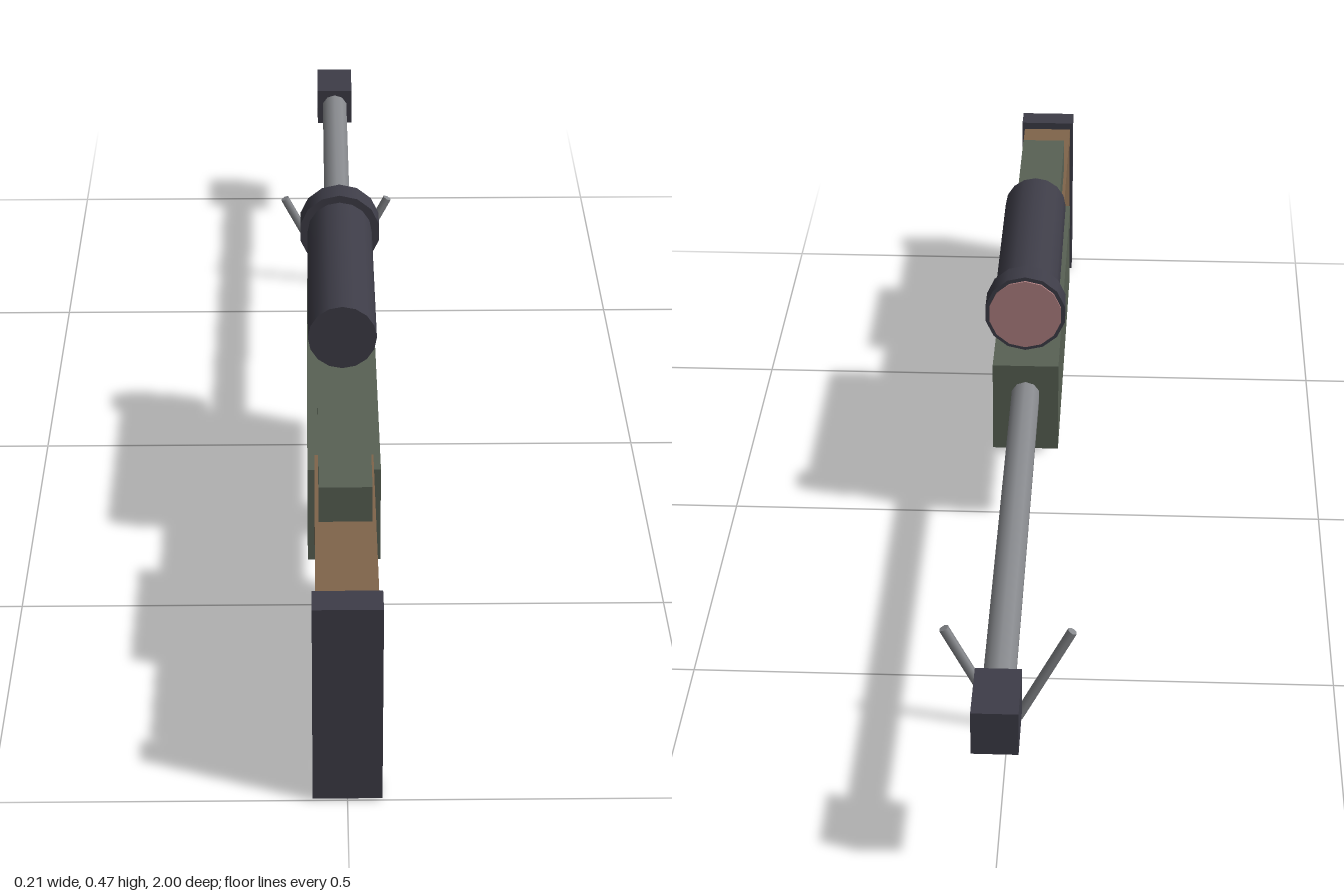
import * as THREE from 'three';

const flat = (name, color) => {
  const m = new THREE.MeshStandardMaterial({ color });
  m.name = name;
  return m;
};

export function createModel() {
  const group = new THREE.Group();
  const dark = flat('darkPolymer', 0x3e3d48);
  const green = flat('oliveGreen', 0x596255);
  const wood = flat('brownWood', 0x80654b);
  const steel = flat('greySteel', 0x87898d);
  const glass = flat('pinkGlass', 0xb28283);

  const add = (name, geometry, material, x, y, z) => {
    const mesh = new THREE.Mesh(geometry, material);
    mesh.name = name;
    mesh.position.set(x, y, z);
    group.add(mesh);
    return mesh;
  };
  // Box given by its width and its y and z ranges
  const block = (name, material, w, y0, y1, z0, z1) =>
    add(name, new THREE.BoxGeometry(w, y1 - y0, z1 - z0), material, 0, (y0 + y1) / 2, (z0 + z1) / 2);
  // Cylinder lying along z
  const tube = (name, material, r, sides, y, z0, z1) =>
    add(name, new THREE.CylinderGeometry(r, r, z1 - z0, sides).rotateX(Math.PI / 2), material, 0, y, (z0 + z1) / 2);

  // Stock and body
  block('buttPlate', dark, 0.098, 0.004, 0.318, 0.952, 1);
  block('stock', wood, 0.088, 0.092, 0.309, 0.567, 0.943);
  block('cheekRest', green, 0.077, 0.305, 0.366, 0.508, 0.757);
  block('receiver', green, 0.109, 0.147, 0.303, -0.032, 0.6);

  // Slanted grip and magazine
  add('grip', new THREE.BoxGeometry(0.056, 0.13, 0.077), wood, 0, 0.094, 0.504).rotation.x = -0.22;
  add('magazine', new THREE.BoxGeometry(0.071, 0.134, 0.09), dark, 0, 0.078, 0.266).rotation.x = 0.3;

  // Barrel and muzzle
  tube('barrel', steel, 0.024, 10, 0.249, -0.9, -0.02);
  block('muzzle', dark, 0.066, 0.215, 0.282, -1, -0.89);

  // Scope
  block('scopeMount', steel, 0.045, 0.295, 0.365, 0.15, 0.227);
  tube('scopeTube', dark, 0.053, 16, 0.406, -0.01, 0.377);
  tube('scopeRing', dark, 0.0665, 14, 0.405, -0.042, 0.002);
  tube('scopeLens', glass, 0.06, 14, 0.405, -0.045, -0.039);

  // Splayed legs under the barrel
  for (const side of [1, -1]) {
    const leg = add(side > 0 ? 'leftLeg' : 'rightLeg',
      new THREE.CylinderGeometry(0.008, 0.008, 0.175, 6), steel, side * 0.056, 0.0965, -0.628);
    leg.rotation.z = -side * 0.48;
  }
  return group;
}
